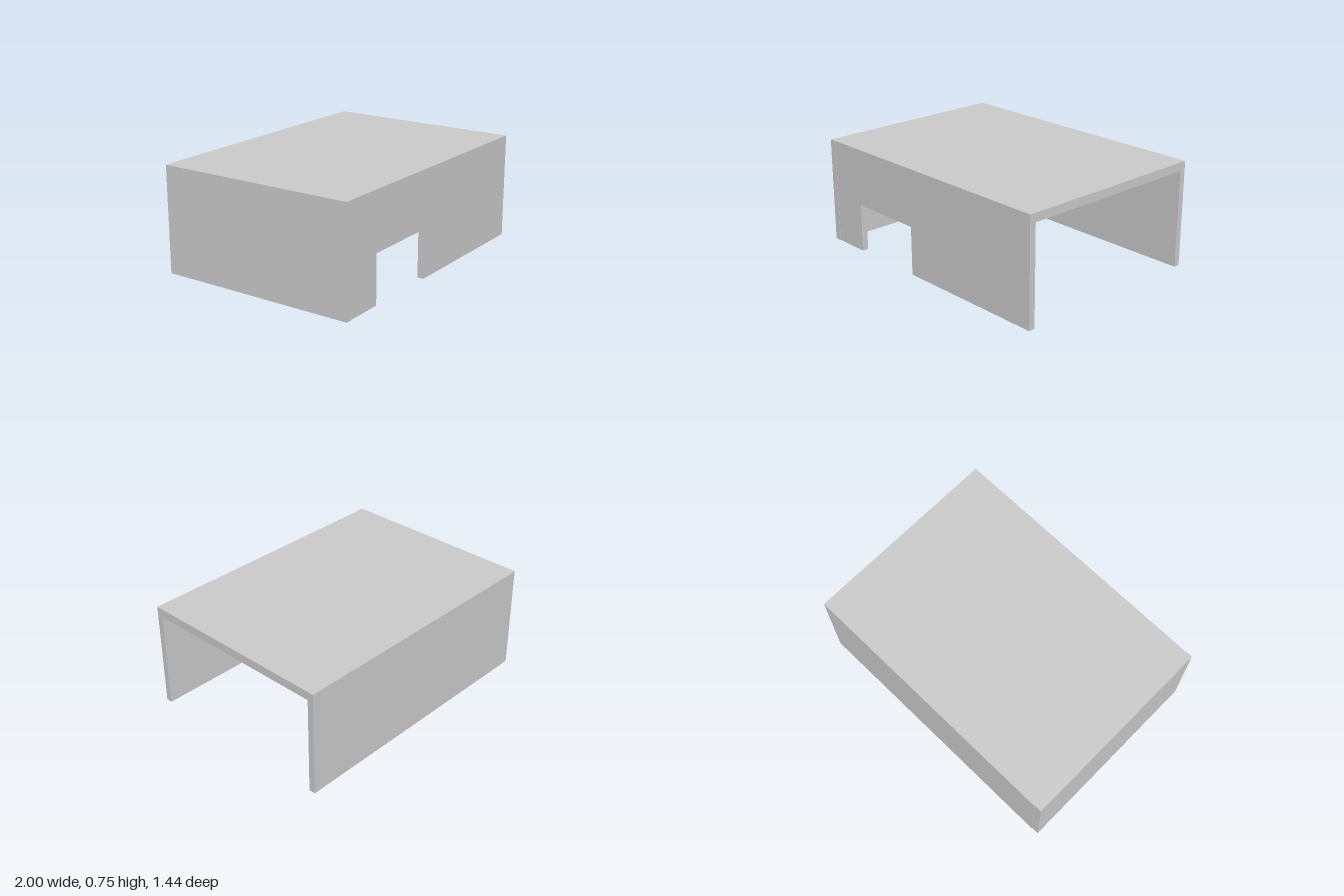
import * as THREE from 'three';

const LEFT = 1, RIGHT = -1, INNER = -0.95; // open end, closed end, inside of end wall
const H = 0.75, CEILING = 0.69;
const BACK = -0.718, FRONT = 0.715, SHIFT = 0.003, WALL = 0.045;

export function createModel() {
  const group = new THREE.Group();
  group.name = 'cover';
  const material = new THREE.MeshStandardMaterial({ color: 0xcccccc, flatShading: true });

  const add = (name, geometry) => {
    const mesh = new THREE.Mesh(geometry, material);
    mesh.name = name;
    group.add(mesh);
  };
  // Box given by its lower and upper corners
  const block = (name, [x0, y0, z0], [x1, y1, z1]) =>
    add(name, new THREE.BoxGeometry(x1 - x0, y1 - y0, z1 - z0)
      .translate((x0 + x1) / 2, (y0 + y1) / 2, (z0 + z1) / 2));

  // Roof slab, back wall and the slightly offset closed end
  block('roof', [INNER, CEILING, BACK], [LEFT, H, FRONT]);
  block('backWall', [INNER, 0, BACK], [LEFT, CEILING, BACK + WALL]);
  block('endWall', [RIGHT, 0, BACK + SHIFT], [INNER, H, FRONT + SHIFT]);

  // Front wall with a doorway cut up from its lower edge
  const outline = [
    [INNER, 0], [-0.68, 0], [-0.68, 0.345], [-0.12, 0.345],
    [-0.12, 0], [LEFT, 0], [LEFT, CEILING], [INNER, CEILING],
  ].map(([x, y]) => new THREE.Vector2(x, y));
  add('frontWall', new THREE.ExtrudeGeometry(new THREE.Shape(outline), { depth: WALL, bevelEnabled: false })
    .translate(0, 0, FRONT - WALL));

  return group;
}
